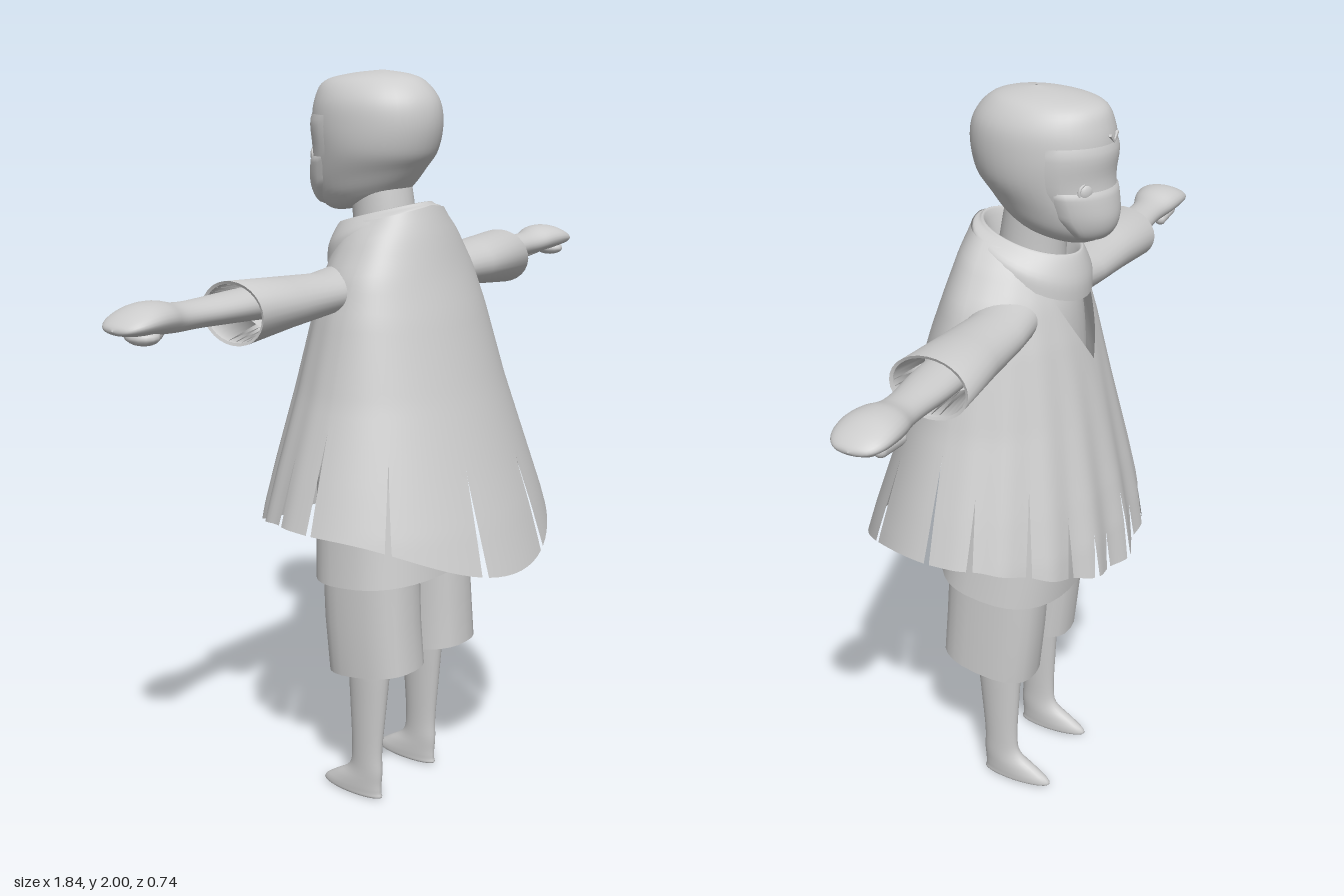
import * as THREE from 'three';
import { mergeGeometries, mergeVertices } from 'three/addons/utils/BufferGeometryUtils.js';

const clay = new THREE.MeshStandardMaterial({ color: 0xcccccc, side: THREE.DoubleSide });
clay.name = 'pale grey';
const { lerp, clamp, degToRad } = THREE.MathUtils;

// Grid surface from a rule; u runs around, v runs upward
function surface(nu, nv, rule, closed) {
  const pos = [], index = [], w = closed ? nu : nu + 1;
  for (let j = 0; j <= nv; j++)
    for (let i = 0; i < w; i++) pos.push(...rule(i / nu, j / nv));
  for (let j = 0; j < nv; j++)
    for (let i = 0; i < nu; i++) {
      const a = j * w + i, b = j * w + (i + 1) % w;
      index.push(a, a + w, b, b, a + w, b + w);
    }
  const g = new THREE.BufferGeometry();
  g.setAttribute('position', new THREE.Float32BufferAttribute(pos, 3));
  g.setIndex(index);
  g.computeVertexNormals();
  return g;
}

// Blend table rows smoothly at t in 0..1
function blend(rows, t) {
  const n = rows.length - 1, k = Math.min(Math.floor(t * n), n - 1), f = t * n - k;
  const [p0, p1, p2, p3] = [k - 1, k, k + 1, k + 2].map(i => rows[clamp(i, 0, n)]);
  return p1.map((b, i) => {
    const a = p0[i], c = p2[i], d = p3[i];
    return b + 0.5 * f * (c - a + f * (2 * a - 5 * b + 4 * c - d + f * (3 * (b - c) + d - a)));
  });
}

// Point on an oval ring: [height, centre x, centre z, radius x, radius z, tilt]
function ringPoint([y, cx, cz, rx, rz, tilt = 0], angle, square = 1) {
  const c = Math.cos(angle), s = Math.sin(angle);
  const p = v => Math.sign(v) * Math.abs(v) ** square;
  return [cx + rx * p(c), y + tilt * p(s), cz + rz * p(s)];
}

function loft(rows, sub = 4, seg = 28, square = 1) {
  return surface(seg, (rows.length - 1) * sub,
    (u, v) => ringPoint(blend(rows, v), u * 2 * Math.PI, square), true);
}

function add(parent, name, geometry) {
  const m = new THREE.Mesh(geometry, clay);
  m.name = name;
  parent.add(m);
  return m;
}

const HEAD = [
  [1.665, 0, -0.11, 0.002, 0.002, 0], [1.665, 0, -0.12, 0.07, 0.09, 0.025],
  [1.69, 0, -0.13, 0.1, 0.135, 0.03], [1.735, 0, -0.125, 0.12, 0.163, 0.025],
  [1.8, 0, -0.105, 0.14, 0.172, 0], [1.865, 0, -0.1, 0.145, 0.183, 0],
  [1.925, 0, -0.1, 0.137, 0.175, 0], [1.97, 0, -0.105, 0.108, 0.145, 0],
  [1.99, 0, -0.09, 0.065, 0.085, 0], [2.0, 0, -0.08, 0.002, 0.002, 0]];

// Thin plate lying on the front of the head
function facePlate(half, v0, v1, lift) {
  return surface(24, 16, (u, v) => {
    const edge = Math.min(1, Math.min(u, 1 - u) * 20, Math.min(v, 1 - v) * 14);
    const row = blend(HEAD, lerp(v0, v1, v));
    row[3] += lift * edge; row[4] += lift * edge;
    const spread = half * Math.sqrt(Math.min(1, 0.45 + v));
    return ringPoint(row, -Math.PI / 2 + (u * 2 - 1) * spread);
  });
}

// Cape outline by height: [y, half width, back z, front z]
const CAPE = [
  [0.7, 0.475, 0.385, 0.37], [0.88, 0.43, 0.33, 0.345], [1.0, 0.39, 0.29, 0.322],
  [1.2, 0.32, 0.225, 0.278], [1.4, 0.265, 0.165, 0.232], [1.5, 0.23, 0.13, 0.205],
  [1.6, 0.165, 0.1, 0.175], [1.64, 0.125, 0.085, 0.15], [1.68, 0.1, 0.07, 0.12]];

function capePoint(deg, v) {
  const a = degToRad(deg), c = Math.cos(a), off = Math.min(deg, 360 - deg);
  const hem = 0.885 - (c > 0 ? 0.115 : 0.14) * Math.abs(c) ** 3;
  const top = off < 40 ? 1.33 + 0.27 * off / 40 : 1.6 + 0.07 * Math.sqrt((off - 40) / 140);
  const y = lerp(hem, top, v);
  const k = clamp(CAPE.findIndex(r => r[0] > y), 1, CAPE.length - 1);
  const f = (y - CAPE[k - 1][0]) / (CAPE[k][0] - CAPE[k - 1][0]);
  const [, x, zb, zf] = CAPE[k].map((q, i) => lerp(CAPE[k - 1][i], q, f));
  // soft pleats down the front
  const pleat = 1 + 0.025 * Math.max(0, c) * (1 - v) * Math.cos(degToRad(off) * 18);
  return [x * Math.sin(a) * pleat, y, -c * (c > 0 ? zf : zb) * pleat];
}

// Cape in strips that part near the hem
function cape() {
  const half = [[11, 0.14], [20, 0.14], [31, 0.18], [49, 0.25], [73, 0.2], [92, 0.28], [127, 0.24], [163, 0.23]];
  const slits = [[0, 0.3], ...half, ...half.map(([a, h]) => [360 - a, h]).reverse(), [360, 0.3]];
  const strips = [];
  for (let i = 0; i < slits.length - 1; i++) {
    const [a0, h0] = slits[i], [a1, h1] = slits[i + 1];
    const gap = (h, v) => 1.3 * Math.max(0, 1 - v * 0.85 / h);
    strips.push(surface(8, 34, (u, v) => {
      const s = a0 + gap(h0, v), e = a1 - gap(h1, v);
      return capePoint(u === 1 ? e : lerp(s, e, u), v);
    }));
  }
  strips.forEach(s => s.deleteAttribute('normal'));
  const g = mergeVertices(mergeGeometries(strips), 1e-4);
  const ix = g.index.array;      // angle runs the other way here, so flip the faces
  for (let i = 0; i < ix.length; i += 3) [ix[i], ix[i + 1]] = [ix[i + 1], ix[i]];
  g.computeVertexNormals();
  return g;
}

function buildSide(sign) {
  const side = new THREE.Group();
  side.name = sign > 0 ? 'leftSide' : 'rightSide';
  side.scale.x = sign;

  // Arm parts are lofted upward, then laid along x
  const along = (rows, ...rest) => loft(rows, ...rest).rotateZ(-Math.PI / 2);
  add(side, 'sleeve', along([
    [0.45, -1.46, -0.09, 0.055, 0.075], [0.563, -1.458, -0.088, 0.07, 0.092],
    [0.563, -1.458, -0.088, 0.07, 0.092], [0.566, -1.458, -0.088, 0.077, 0.1]].reverse()
    .concat([[0.566, -1.458, -0.088, 0.077, 0.1], [0.4, -1.46, -0.088, 0.063, 0.09],
      [0.25, -1.46, -0.088, 0.052, 0.083], [0.12, -1.47, -0.085, 0.06, 0.075]]), 1));
  add(side, 'forearmAndHand', along([
    [0.4, -1.47, -0.095, 0.045, 0.06], [0.57, -1.472, -0.1, 0.037, 0.058],
    [0.68, -1.473, -0.103, 0.033, 0.048], [0.74, -1.475, -0.103, 0.034, 0.05],
    [0.79, -1.483, -0.103, 0.038, 0.064], [0.84, -1.485, -0.102, 0.035, 0.07],
    [0.885, -1.48, -0.102, 0.024, 0.063], [0.912, -1.474, -0.102, 0.012, 0.04],
    [0.92, -1.473, -0.102, 0.002, 0.002]]));
  const thumb = add(side, 'thumb', new THREE.CapsuleGeometry(0.017, 0.075, 4, 10));
  thumb.rotation.z = Math.PI / 2 + 0.1;
  thumb.position.set(0.805, 1.444, -0.13);
  const fingers = add(side, 'curledFingers', new THREE.SphereGeometry(1, 14, 10));
  fingers.scale.set(0.035, 0.02, 0.045);
  fingers.position.set(0.845, 1.45, -0.09);

  // Short trouser leg with an open hem
  add(side, 'trouserLeg', loft([
    [0.5, 0.12, -0.02, 0.085, 0.115, 0.02], [0.41, 0.12, -0.018, 0.095, 0.13, 0.022],
    [0.41, 0.12, -0.018, 0.1, 0.135, 0.022], [0.41, 0.12, -0.018, 0.1, 0.135, 0.022],
    [0.55, 0.12, -0.03, 0.098, 0.138, 0.01], [0.74, 0.115, -0.04, 0.095, 0.14, 0]], 1, 24, 0.8));
  // Bare shin and foot
  add(side, 'shinAndFoot', loft([
    [0, 0.127, -0.1, 0.001, 0.002], [0.002, 0.127, -0.1, 0.025, 0.094],
    [0.018, 0.127, -0.101, 0.029, 0.1], [0.045, 0.127, -0.083, 0.029, 0.082],
    [0.085, 0.127, -0.054, 0.027, 0.056], [0.15, 0.127, -0.049, 0.028, 0.05],
    [0.28, 0.125, -0.045, 0.035, 0.058], [0.4, 0.123, -0.042, 0.042, 0.066],
    [0.52, 0.12, -0.04, 0.045, 0.07]]));

  // Round eye with a rim
  const eye = new THREE.Group();
  eye.name = 'eye';
  eye.position.set(0.078, 1.785, -0.247);
  eye.rotation.y = Math.PI - 0.5;
  add(eye, 'eyeRim', new THREE.TorusGeometry(0.021, 0.004, 8, 20));
  add(eye, 'eyeball', new THREE.SphereGeometry(0.02, 16, 12)).scale.z = 0.5;
  side.add(eye);

  // Half of the forehead mark
  const mark = add(side, 'foreheadMark', new THREE.BoxGeometry(0.03, 0.006, 0.008));
  mark.position.set(0.011, 1.9, -0.279);
  mark.rotation.z = 0.7;
  return side;
}

export function createModel() {
  const model = new THREE.Group();
  model.name = 'capedFigure';

  add(model, 'head', loft(HEAD, 5, 36));
  add(model, 'facePlate', facePlate(1.2, 0.2, 0.6, 0.004));
  add(model, 'lowerMask', facePlate(1.15, 0.2, 0.43, 0.009));
  add(model, 'neck', loft([[1.5, 0, -0.07, 0.085, 0.09], [1.62, 0, -0.075, 0.08, 0.085],
    [1.73, 0, -0.09, 0.08, 0.08]], 2));

  // Rolled collar, low at the throat
  add(model, 'collar', loft([
    [1.575, 0, -0.075, 0.155, 0.15, 0.08], [1.605, 0, -0.075, 0.147, 0.149, 0.062],
    [1.635, 0, -0.072, 0.115, 0.135, 0.036], [1.638, 0, -0.072, 0.1, 0.122, 0.034],
    [1.57, 0, -0.07, 0.088, 0.1, 0.03]], 4, 36));

  add(model, 'cape', cape());

  // Chest under the cape, flaring into a tunic skirt
  add(model, 'chest', loft([
    [0.85, 0, -0.05, 0.21, 0.16], [1.1, 0, -0.05, 0.2, 0.16], [1.35, 0, -0.055, 0.19, 0.15],
    [1.5, 0, -0.06, 0.15, 0.13], [1.6, 0, -0.065, 0.09, 0.08]]));
  add(model, 'tunicSkirt', loft([
    [0.73, 0, -0.04, 0.22, 0.165, 0.02], [0.672, 0, -0.038, 0.232, 0.178, 0.02],
    [0.672, 0, -0.038, 0.24, 0.184, 0.02], [0.672, 0, -0.038, 0.24, 0.184, 0.02],
    [0.8, 0, -0.05, 0.225, 0.18, 0.01], [0.95, 0, -0.06, 0.21, 0.17, 0]], 1, 36, 0.8));
  add(model, 'hips', loft([
    [0.66, 0, -0.04, 0.002, 0.002], [0.67, 0, -0.04, 0.15, 0.11],
    [0.73, 0, -0.04, 0.21, 0.155], [0.85, 0, -0.05, 0.2, 0.15]], 2));

  model.add(buildSide(1), buildSide(-1));
  return model;
}
